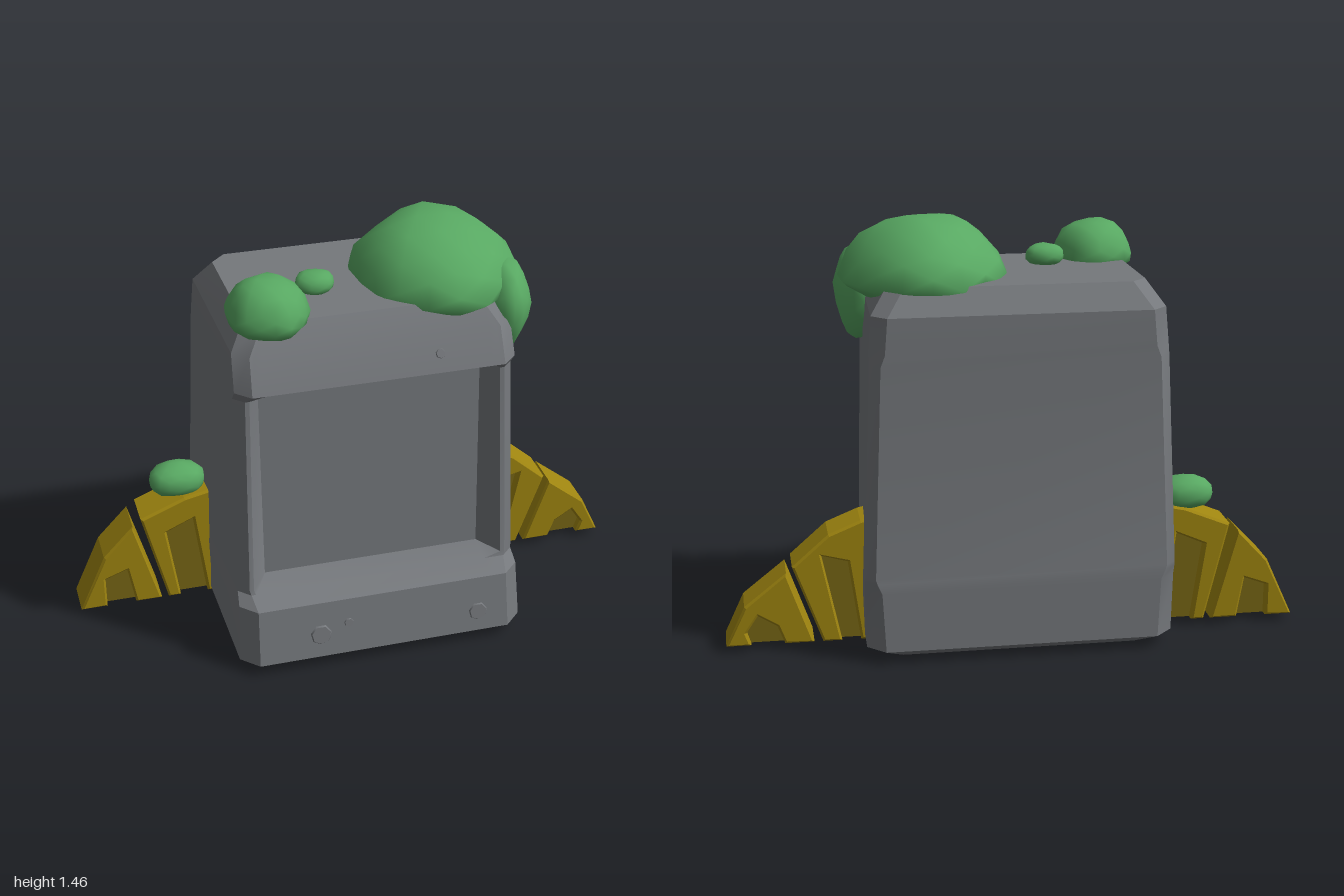
import * as THREE from 'three';
import { mergeVertices, toCreasedNormals } from 'three/addons/utils/BufferGeometryUtils.js';

const stone = new THREE.MeshStandardMaterial({ color: 0x75787c });
const gold = new THREE.MeshStandardMaterial({ color: 0xa08610 });
const darkGold = new THREE.MeshStandardMaterial({ color: 0x796715 });
const leaf = new THREE.MeshStandardMaterial({ color: 0x58a862 });

function addMesh(parent, name, geometry, material) {
  const mesh = new THREE.Mesh(geometry, material);
  mesh.name = name;
  parent.add(mesh);
  return mesh;
}

// Stone block: horizontal rings stacked upward, with the front niche folded into each ring
function bodyGeometry() {
  // y, front half width, back half width, front z, back z, niche z, corner chamfer
  const levels = [
    [0.0, 0.45, 0.46, 0.34, -0.34, 0.34, 0.06],
    [0.045, 0.51, 0.525, 0.42, -0.42, 0.42, 0.06],
    [0.25, 0.5, 0.53, 0.39, -0.414, 0.39, 0.055],
    [0.285, 0.495, 0.53, 0.33, -0.413, 0.33, 0.04],
    [0.3, 0.495, 0.53, 0.325, -0.41, 0.23, 0.035],
    [1.02, 0.48, 0.5, 0.28, -0.385, 0.2, 0.035],
    [1.06, 0.48, 0.5, 0.33, -0.385, 0.33, 0.05],
    [1.18, 0.475, 0.49, 0.28, -0.38, 0.28, 0.05],
    [1.265, 0.42, 0.43, 0.22, -0.32, 0.22, 0.05],
  ];
  const pos = [], idx = [];
  let n = 0;
  for (const [y, wf, wb, zf, zb, zn, c] of levels) {
    const half = [
      [0.385, zn], [wf - c - 0.015, zf], [wf - c, zf],
      [wf, zf - c], [wb, zb + c], [wb - c, zb],
    ];
    const ring = [...half, ...half.map(([x, z]) => [-x, z]).reverse()];
    n = ring.length;
    for (const [x, z] of ring) pos.push(x, y, z);
  }
  const rows = levels.length;
  for (let r = 0; r < rows - 1; r++) {
    for (let i = 0; i < n; i++) {
      const a = r * n + i, b = r * n + (i + 1) % n;
      idx.push(a, b, b + n, a, b + n, a + n);
    }
  }
  // Bottom and top caps
  const low = rows * n, high = low + 1, top = (rows - 1) * n;
  pos.push(0, 0, 0, 0, 1.265, 0);
  for (let i = 0; i < n; i++) {
    const j = (i + 1) % n;
    idx.push(low, j, i, high, top + i, top + j);
  }
  const g = new THREE.BufferGeometry();
  g.setAttribute('position', new THREE.Float32BufferAttribute(pos, 3));
  g.setIndex(idx);
  return toCreasedNormals(g, 0.5);
}

// Leafy clump: a squashed ball with a soft uneven surface
function clumpGeometry(rx, up, down, rz, seed) {
  let g = new THREE.IcosahedronGeometry(1, 2);
  g.deleteAttribute('uv');
  g.deleteAttribute('normal');
  g = mergeVertices(g, 1e-4);
  const p = g.attributes.position;
  for (let i = 0; i < p.count; i++) {
    const x = p.getX(i), y = p.getY(i), z = p.getZ(i);
    const k = 0.98 + 0.05 * Math.sin(5 * x + seed) * Math.cos(4 * z + seed * 2) + 0.03 * Math.sin(6 * y + seed);
    p.setXYZ(i, x * rx * k, y * (y > 0 ? up : down) * k, z * rz * k);
  }
  g.computeVertexNormals();
  return g;
}

function plate(points, front, back, bevel) {
  const shape = new THREE.Shape(points.map(([x, y]) => new THREE.Vector2(x, y)));
  const g = new THREE.ExtrudeGeometry(shape, {
    depth: front - back - 2 * bevel, bevelEnabled: bevel > 0, bevelThickness: bevel,
    bevelSize: bevel, bevelOffset: -bevel, bevelSegments: 1,
  });
  g.translate(0, 0, back + bevel);
  return g;
}

// Wing segment: an arch-shaped frame with a sunken panel that opens at the foot
function wingSegment(parent, name, outline, notch) {
  const group = new THREE.Group();
  group.name = name;
  addMesh(group, 'frame', plate([...outline, ...notch], -0.092, -0.243, 0.008), gold);
  addMesh(group, 'sunkenPanel', plate(notch, -0.125, -0.21, 0), darkGold);
  parent.add(group);
}

export function createModel() {
  const model = new THREE.Group();
  addMesh(model, 'stoneBody', bodyGeometry(), stone);

  // Small chips on the front of the base and the lintel: x, y, z, radius, tilt
  const chips = [
    [-0.23, 0.13, 0.409, 0.04, -0.14], [-0.13, 0.16, 0.404, 0.018, -0.14],
    [0.34, 0.12, 0.41, 0.036, -0.14], [0.21, 1.12, 0.306, 0.018, -0.4],
  ];
  chips.forEach(([x, y, z, r, tilt], i) => {
    const chip = addMesh(model, 'stoneChip' + (i + 1), new THREE.CylinderGeometry(r * 0.85, r, 0.008, 7), stone);
    chip.position.set(x, y, z);
    chip.rotation.x = Math.PI / 2 + tilt;
  });

  // Wings: outline from the foot's outer end over the top, then the notch at the foot
  const b = 0.025;
  wingSegment(model, 'leftInnerWing',
    [[0.665, b], [0.765, 0.3], [0.64, 0.41], [0.53, 0.455], [0.48, 0.465], [0.48, b]],
    [[0.535, b], [0.575, 0.31], [0.665, 0.335], [0.6, b]]);
  wingSegment(model, 'leftOuterWing',
    [[0.995, b], [0.93, 0.165], [0.785, 0.28], [0.695, b]],
    [[0.795, b], [0.82, 0.09], [0.885, 0.13], [0.925, 0.07], [0.91, b]]);
  wingSegment(model, 'rightInnerWing',
    [[-0.675, b], [-0.76, 0.375], [-0.6, 0.44], [-0.48, 0.465], [-0.48, b]],
    [[-0.53, b], [-0.57, 0.35], [-0.67, 0.305], [-0.63, b]]);
  wingSegment(model, 'rightOuterWing',
    [[-0.995, b], [-0.9, 0.235], [-0.79, 0.35], [-0.7, b]],
    [[-0.795, b], [-0.82, 0.17], [-0.9, 0.14], [-0.9, b]]);

  // Foliage: name, centre, x radius, upper and lower radius, z radius, seed
  const clumps = [
    ['largeBush', [0.285, 1.25, -0.04], 0.285, 0.215, 0.085, 0.315, 1],
    ['hangingLeaves', [0.485, 1.2, 0.11], 0.095, 0.14, 0.2, 0.145, 2],
    ['smallBush', [-0.34, 1.28, 0.16], 0.14, 0.115, 0.09, 0.15, 3],
    ['tinyBush', [-0.145, 1.295, 0.03], 0.07, 0.042, 0.04, 0.06, 4],
    ['wingBush', [-0.61, 0.475, -0.175], 0.105, 0.07, 0.055, 0.08, 5],
  ];
  for (const [name, at, rx, up, down, rz, seed] of clumps) {
    addMesh(model, name, clumpGeometry(rx, up, down, rz, seed), leaf).position.set(...at);
  }
  return model;
}
